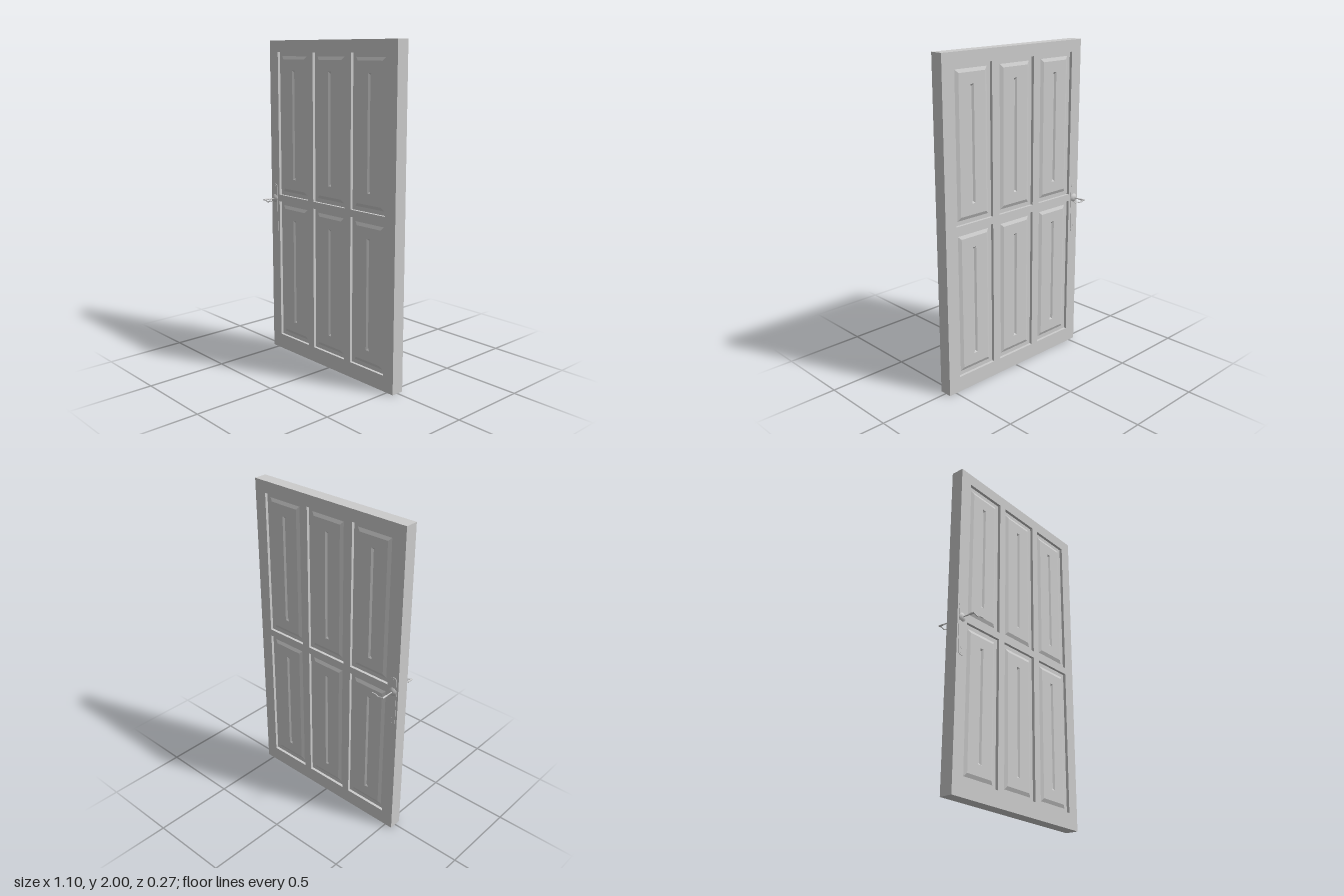
import * as THREE from 'three';

const grey = new THREE.MeshStandardMaterial({ color: 0xcccccc });
const W = 1.096, H = 2, T = 0.08;        // door leaf
const PW = 0.28, PH = 0.895;             // panel opening
const columns = [-0.33, 0, 0.33], rows = [0.543, 1.481];
const handleX = -0.512, handleY = 1.005;

function add(parent, name, geometry, x = 0, y = 0, z = 0) {
  const mesh = new THREE.Mesh(geometry, grey);
  mesh.name = name;
  mesh.position.set(x, y, z);
  parent.add(mesh);
  return mesh;
}

function rectPoints(cx, cy, w, h) {
  return [[-1, -1], [1, -1], [1, 1], [-1, 1]].map(([a, b]) =>
    new THREE.Vector2(cx + a * w / 2, cy + b * h / 2));
}

// Stiles and rails: a slab with six openings
function frameGeometry() {
  const shape = new THREE.Shape(rectPoints(0, H / 2, W, H));
  for (const x of columns) for (const y of rows)
    shape.holes.push(new THREE.Path(rectPoints(x, y, PW, PH)));
  return new THREE.ExtrudeGeometry(shape, { depth: T, bevelEnabled: false }).translate(0, 0, -T / 2);
}

// Fielded panel face: rectangular rings of [side inset, end inset, z], joined by flat strips
function panelGeometry() {
  const rings = [
    [0, 0, 0.022], [0.024, 0.024, 0.022], [0.044, 0.044, 0.031],
    [0.127, 0.11, 0.031], [0.138, 0.121, 0.023],
  ].map(([ix, iy, z]) => rectPoints(0, 0, PW - 2 * ix, PH - 2 * iy).map(p => [p.x, p.y, z]));
  const pos = [];
  const quad = (a, b, c, d) => pos.push(...a, ...b, ...c, ...a, ...c, ...d);
  for (let i = 0; i < rings.length - 1; i++)
    for (let k = 0; k < 4; k++) {
      const n = (k + 1) % 4;
      quad(rings[i][k], rings[i][n], rings[i + 1][n], rings[i + 1][k]);
    }
  quad(...rings[rings.length - 1]);
  const g = new THREE.BufferGeometry();
  g.setAttribute('position', new THREE.Float32BufferAttribute(pos, 3));
  g.computeVertexNormals();
  return g;
}

// Thin back plate with rounded ends
function plateGeometry() {
  const r = 0.024, top = 1.1 - r, bottom = 0.775 + r;
  const shape = new THREE.Shape();
  shape.absarc(0, top, r, 0, Math.PI, false);
  shape.absarc(0, bottom, r, Math.PI, Math.PI * 2, false);
  return new THREE.ExtrudeGeometry(shape, { depth: 0.003, bevelEnabled: false, curveSegments: 12 })
    .translate(0, 0, -0.0015);
}

// Handle set for one face; s = 1 front, -1 back
function handleSet(s) {
  const set = new THREE.Group();
  set.name = s > 0 ? 'frontHandleSet' : 'backHandleSet';
  set.position.x = handleX;
  add(set, 'backPlate', plateGeometry(), 0, 0, s * 0.0415);

  // Stepped rosette
  const profile = [[0.026, 0.04], [0.026, 0.045], [0.018, 0.047], [0.016, 0.051], [0.007, 0.053], [0, 0.053]]
    .map(([r, z]) => new THREE.Vector2(r, z));
  add(set, 'rosette', new THREE.LatheGeometry(profile, 24).rotateX(s * Math.PI / 2), 0, handleY);

  // Spindle, thicker neck and curved lever
  const rod = (name, r, z0, z1) => add(set, name,
    new THREE.CylinderGeometry(r, r, z1 - z0, 16).rotateX(Math.PI / 2), 0, handleY, s * (z0 + z1) / 2);
  rod('spindle', 0.0035, 0.045, 0.105);
  rod('neck', 0.0055, 0.098, 0.134);
  const path = new THREE.CatmullRomCurve3([
    [0, 1.005], [0.018, 1.0], [0.035, 0.996], [0.05, 1.003], [0.066, 1.005], [0.078, 1.004],
  ].map(([x, y]) => new THREE.Vector3(x, y, s * 0.127)));
  add(set, 'lever', new THREE.TubeGeometry(path, 24, 0.0035, 8));
  add(set, 'leverTip', new THREE.SphereGeometry(0.0036, 10, 8), 0.078, 1.004, s * 0.127);

  // Plate screws and keyhole boss
  for (const [name, y, r] of [['screw', 1.085, 0.004], ['screw', 0.79, 0.004], ['keyhole', 0.82, 0.006]])
    add(set, name, new THREE.CylinderGeometry(r, r, 0.002, 12).rotateX(Math.PI / 2), 0, y, s * 0.0435);
  return set;
}

export function createModel() {
  const door = new THREE.Group();
  door.name = 'door';
  add(door, 'doorFrame', frameGeometry());
  const panel = panelGeometry();
  for (const x of columns) for (const y of rows) {
    add(door, 'frontPanel', panel, x, y);
    add(door, 'backPanel', panel, x, y).rotation.y = Math.PI;
  }
  door.add(handleSet(1), handleSet(-1));
  return door;
}
